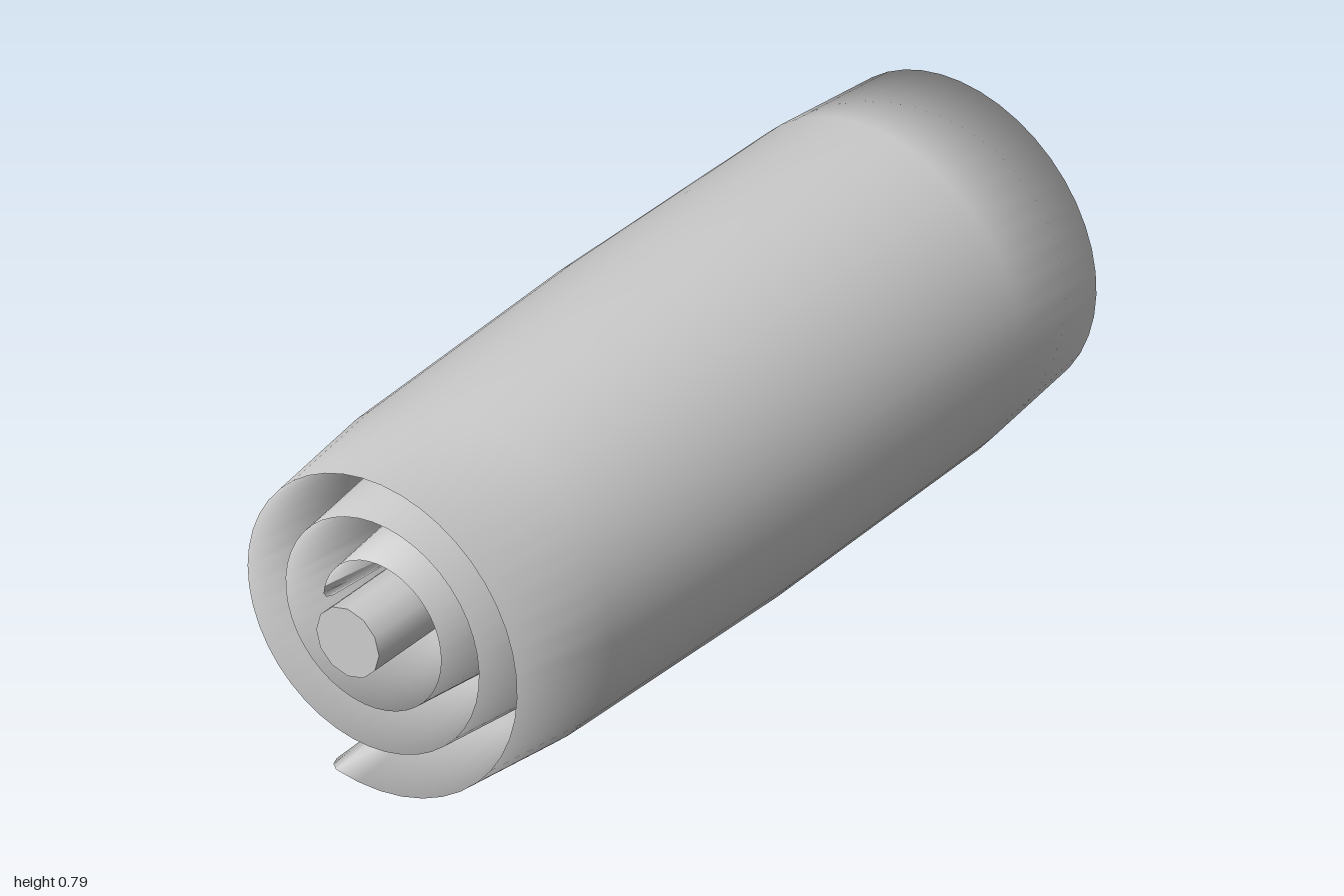
import * as THREE from 'three';

const AXIS_Y = 0.42, AXIS_Z = -0.0234;      // common axis of rod and roll
const HALF_WIDTH = 0.92, HALF_THICK = 0.0375;
const SIDES = 8, STEPS = 120;

// Rolled sheet: a thin eight-sided ellipse swept along an Archimedean spiral
function rolledSheetGeometry() {
  const start = 0.2, end = 2.75 * Math.PI * 2 + 0.24;
  const rings = [
    [start - 0.16, 0.8, 0.97], [start - 0.1, 0.92, 0.99], // [angle, thickness scale, width scale]
  ];
  for (let j = 0; j <= STEPS; j++) rings.push([start + (end - start) * j / STEPS, 1, 1]);
  rings.push([end + 0.036, 0.75, 0.99], [end + 0.052, 0.35, 0.97]);

  const pos = [], index = [];
  const addPoint = (x, angle, offset) => {
    const r = 0.122 + 0.0945 * angle / (Math.PI * 2) + offset;
    pos.push(x, AXIS_Y + r * Math.sin(angle), AXIS_Z - r * Math.cos(angle));
  };
  for (const [angle, thick, width] of rings) {
    for (let i = 0; i < SIDES; i++) {
      const phi = i / SIDES * Math.PI * 2;
      addPoint(HALF_WIDTH * width * Math.cos(phi), angle, HALF_THICK * thick * Math.sin(phi));
    }
  }
  for (let j = 0; j < rings.length - 1; j++) {
    for (let i = 0; i < SIDES; i++) {
      const k = (i + 1) % SIDES;
      const a = j * SIDES + i, b = j * SIDES + k;
      index.push(a, b, a + SIDES, b, b + SIDES, a + SIDES);
    }
  }
  // Close both ends of the sheet
  const last = (rings.length - 1) * SIDES, centre = rings.length * SIDES;
  addPoint(0, rings[0][0], 0);
  addPoint(0, rings[rings.length - 1][0], 0);
  for (let i = 0; i < SIDES; i++) {
    const k = (i + 1) % SIDES;
    index.push(centre, k, i, centre + 1, last + i, last + k);
  }
  const geometry = new THREE.BufferGeometry();
  geometry.setAttribute('position', new THREE.Float32BufferAttribute(pos, 3));
  geometry.setIndex(index);
  geometry.computeVertexNormals();
  return geometry;
}

export function createModel() {
  const group = new THREE.Group();
  const grey = new THREE.MeshStandardMaterial({ color: 0xcccccc });
  grey.name = 'light grey';

  const sheet = new THREE.Mesh(rolledSheetGeometry(), grey);
  sheet.name = 'rolledSheet';
  group.add(sheet);

  // Central rod through the roll
  const rod = new THREE.Mesh(new THREE.CylinderGeometry(0.078, 0.078, 2, 12), grey);
  rod.name = 'centreRod';
  rod.rotation.z = Math.PI / 2;
  rod.position.set(0, AXIS_Y, AXIS_Z);
  group.add(rod);

  return group;
}
